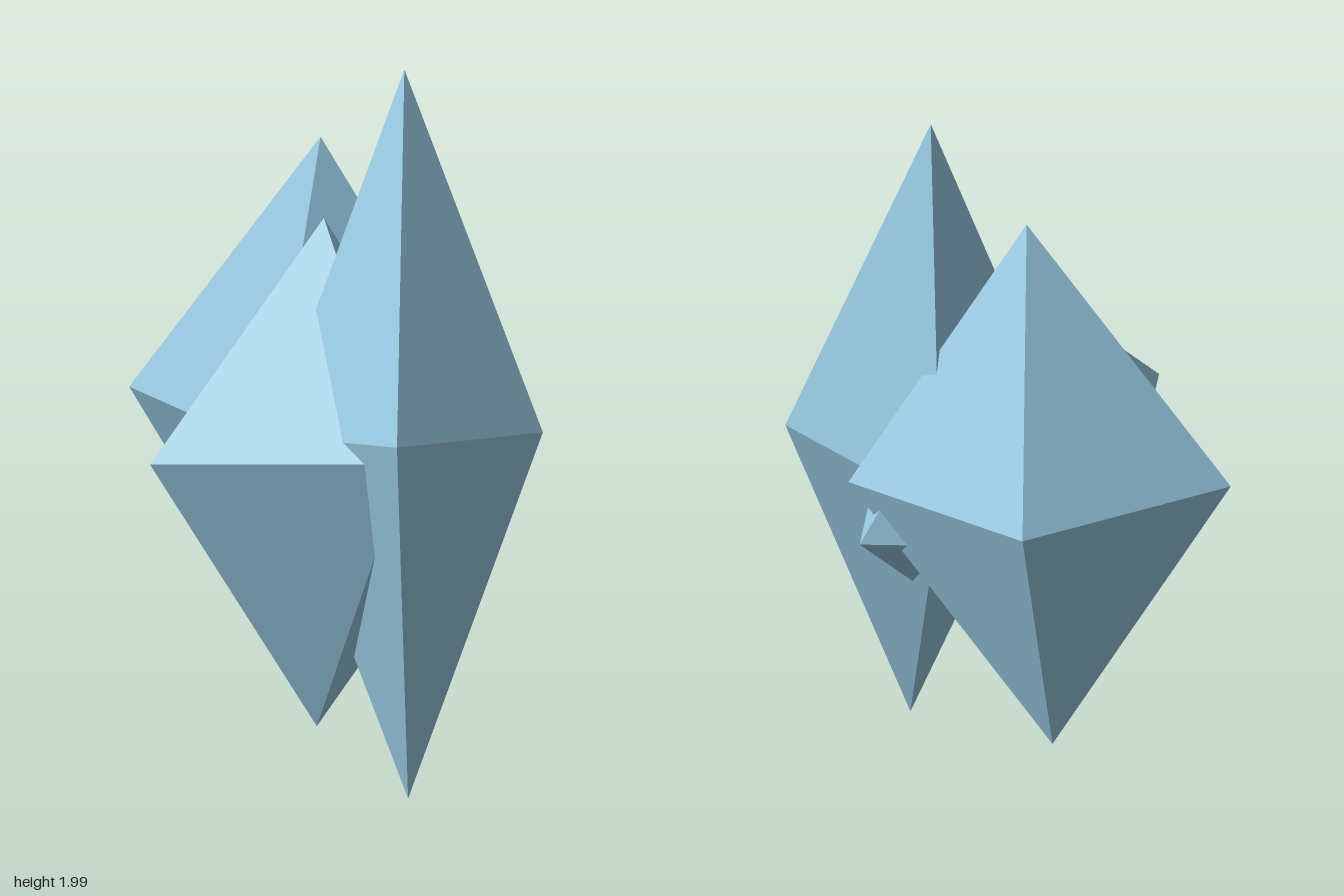
import * as THREE from 'three';

// A crystal is an octahedron with three half-axes (side, up, front) about a centre.
function crystal(name, material, centre, side, up, front) {
  const v = (p) => new THREE.Vector3(...p);
  const matrix = new THREE.Matrix4().makeBasis(v(side), v(up), v(front)).setPosition(v(centre));
  const geometry = new THREE.OctahedronGeometry(1, 0).applyMatrix4(matrix);
  geometry.computeVertexNormals();
  const mesh = new THREE.Mesh(geometry, material);
  mesh.name = name;
  return mesh;
}

export function createModel() {
  const group = new THREE.Group();
  group.name = 'crystalCluster';
  const iceBlue = new THREE.MeshStandardMaterial({ color: 0x98cae2, flatShading: true });
  iceBlue.name = 'iceBlue';

  group.add(
    // tall crystal at the front
    crystal('frontCrystal', iceBlue, [0.175, 1.005, 0.25],
      [0.32, 0.008, 0.195], [0.055, 0.995, -0.11], [-0.225, 0.05, 0.355]),
    // broad crystal at the back
    crystal('backCrystal', iceBlue, [0.1475, 0.995, -0.2275],
      [0.2825, 0.04, -0.2675], [-0.0225, 0.775, 0.0825], [0.3675, -0.025, 0.3775]),
    // leaning crystal crossing through both, its tip showing on the far side
    crystal('crossingCrystal', iceBlue, [0, 0.885, 0.08],
      [0.533, -0.075, 0], [0.0925, 0.675, -0.1475], [0.027, 0.1, 0.44]),
  );
  return group;
}
